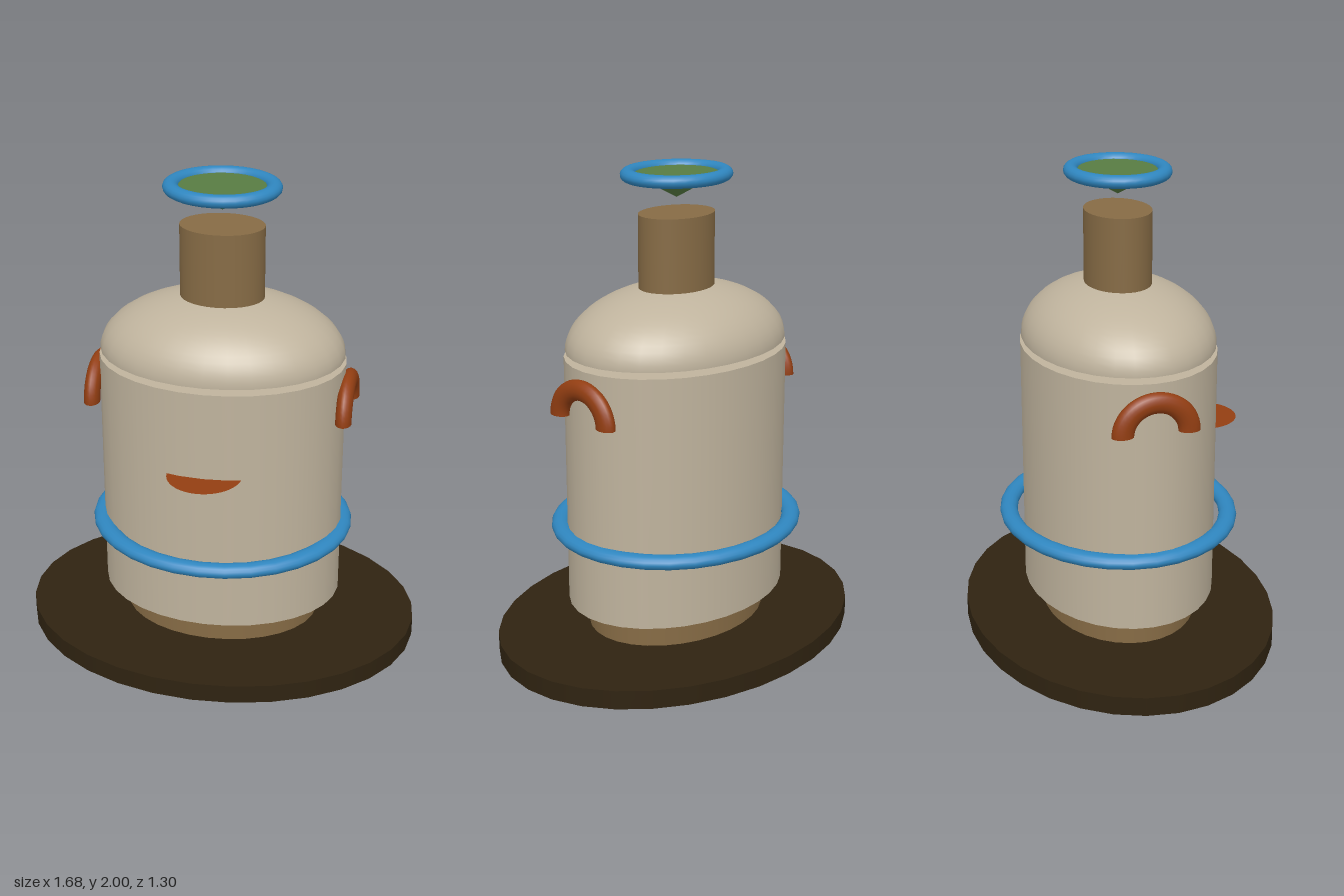
import * as THREE from 'three';

const mat = (name, color, side = THREE.FrontSide) => {
  const m = new THREE.MeshStandardMaterial({ color, side });
  m.name = name;
  return m;
};

export function createModel() {
  const model = new THREE.Group();
  model.name = 'urn';

  const cream = mat('cream', 0xbfb39d, THREE.DoubleSide);
  const tan = mat('tan', 0x866b45);
  const darkBrown = mat('darkBrown', 0x2f2311);
  const blue = mat('blue', 0x2f86bf);
  const green = mat('green', 0x587c42);
  const orange = mat('orange', 0x933e12, THREE.DoubleSide);

  const add = (name, geometry, material) => {
    const mesh = new THREE.Mesh(geometry, material);
    mesh.name = name;
    model.add(mesh);
    return mesh;
  };

  // Upright oval drum from y0 to y1 with half-widths rx and rz
  const drum = (name, rx, rz, y0, y1, material) => {
    const g = new THREE.CylinderGeometry(1, 1, y1 - y0, 32);
    g.scale(rx, 1, rz).translate(0, (y0 + y1) / 2, 0);
    return add(name, g, material);
  };

  // Flat-lying oval ring
  const ring = (name, radius, tube, y, sx, sy) => {
    const g = new THREE.TorusGeometry(radius, tube, 16, 32);
    g.rotateX(Math.PI / 2).scale(sx, sy, 1).translate(0, y, 0);
    return add(name, g, blue);
  };

  // Stacked body
  drum('base', 0.84, 0.65, 0, 0.08, darkBrown);
  drum('foot', 0.418, 0.32, 0.08, 0.21, tan);
  drum('body', 0.51, 0.395, 0.2, 1.26, cream);
  drum('neck', 0.172, 0.135, 1.27, 1.82, tan);

  // Domed shoulder, floating just above the body
  const dome = new THREE.SphereGeometry(1, 32, 16, 0, Math.PI * 2, 0, Math.PI / 2);
  dome.scale(0.505, 0.25, 0.39).translate(0, 1.285, 0);
  add('shoulder', dome, cream);

  // Rings around the belly and the mouth
  ring('bellyRing', 0.463, 0.037, 0.51, 1.11, 0.8);
  ring('mouthRing', 0.185, 0.029, 1.974, 1.105, 0.9);

  // Inverted cone set in the mouth ring
  const cone = new THREE.ConeGeometry(1, 0.1, 32);
  cone.rotateX(Math.PI).scale(0.19, 1, 0.172).translate(0, 1.93, 0);
  add('funnel', cone, green);

  // Arched handles on both sides
  for (const [name, side] of [['leftHandle', 1], ['rightHandle', -1]]) {
    const g = new THREE.TorusGeometry(0.135, 0.045, 16, 24, Math.PI);
    g.rotateY(-Math.PI / 2).scale(0.73, 0.94, 1).translate(side * 0.522, 1.06, 0);
    add(name, g, orange);
  }

  // Thin half-round spout shelf on the front
  const shelf = new THREE.CircleGeometry(0.152, 24, Math.PI, Math.PI);
  shelf.rotateX(-Math.PI / 2).translate(0, 0.89, 0.365);
  add('frontShelf', shelf, orange);

  return model;
}
